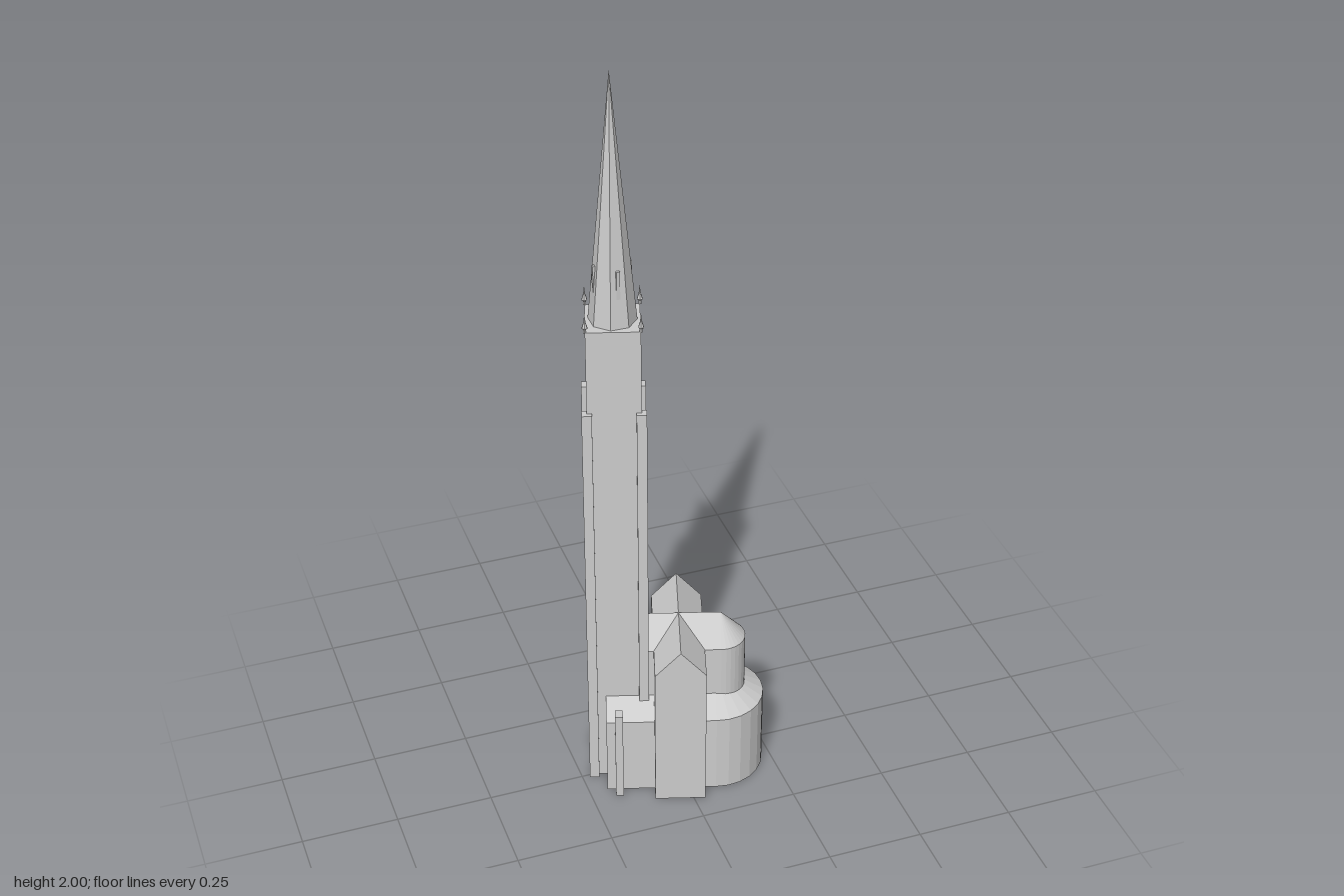
import * as THREE from 'three';

export function createModel() {
  const stone = new THREE.MeshStandardMaterial({ color: 0xcccccc, flatShading: true, side: THREE.DoubleSide });
  stone.name = 'pale stone';

  const model = new THREE.Group();
  model.name = 'church';
  // Church plan: local x runs along the nave, origin at the crossing
  const church = new THREE.Group();
  church.name = 'churchBody';
  church.position.set(0.017, 0, 0.005);
  const turn = -0.304;
  church.rotation.y = turn;
  model.add(church);

  const add = (parent, name, geometry, x = 0, y = 0, z = 0) => {
    const mesh = new THREE.Mesh(geometry, stone);
    mesh.name = name;
    mesh.position.set(x, y, z);
    parent.add(mesh);
    return mesh;
  };
  // Box standing on height y
  const block = (parent, name, w, h, d, x, z, y = 0) =>
    add(parent, name, new THREE.BoxGeometry(w, h, d), x, y + h / 2, z);
  // Symmetric cross-section (half profile from bottom to top) swept from a to b along z
  const sweep = (half, a, b) => {
    const left = half.filter(p => p[0] > 0).reverse().map(([x, y]) => [-x, y]);
    const shape = new THREE.Shape([...half, ...left].map(p => new THREE.Vector2(...p)));
    return new THREE.ExtrudeGeometry(shape, { depth: b - a, bevelEnabled: false }).translate(0, 0, a);
  };
  const sweepX = (half, a, b) => sweep(half, a, b).rotateY(Math.PI / 2);
  // Half-round end facing +x
  const halfRound = (points, segments) =>
    new THREE.LatheGeometry(points.map(p => new THREE.Vector2(...p)), segments, 0, Math.PI);

  // Transept, nave and choir share eaves and ridge heights
  const eave = 0.408, ridge = 0.48;
  const gable = w => [[w, 0], [w, eave], [0, ridge]];
  add(church, 'transept', sweep(gable(0.0655), -0.1685, 0.1685));
  add(church, 'nave', sweepX(gable(0.0655), -0.157, 0));
  add(church, 'choir', sweepX(gable(0.0645), 0, 0.108));
  add(church, 'apse', halfRound([[0.0645, 0], [0.0645, eave], [0, ridge]], 16), 0.108);

  // Low aisles with lean-to roofs, carried round the apse
  const aisle = [[0.127, 0], [0.127, 0.225], [0.065, 0.265]];
  add(church, 'aisles', sweepX(aisle, -0.19, 0.06));
  for (const s of [-1, 1]) {
    const wall = new THREE.Shape([[0.065, 0], [0.127, 0], [0.127, 0.225], [0.065, 0.265]]
      .map(([x, y]) => new THREE.Vector2(-s * x, y)));
    add(church, 'ambulatorySide',
      new THREE.ExtrudeGeometry(wall, { depth: 0.035, bevelEnabled: false }).rotateY(Math.PI / 2), 0.06);
    block(church, 'aisleButtress', 0.02, 0.265, 0.027, -0.1575, s * 0.1395);
  }
  add(church, 'ambulatory', halfRound([[0.127, 0], [0.127, 0.225], [0.062, 0.265]], 12), 0.095);

  // Tower with corner buttresses and pinnacles
  const tower = new THREE.Group();
  tower.name = 'tower';
  tower.position.x = -0.157;
  church.add(tower);
  const top = 1.36, half = 0.066;
  block(tower, 'towerShaft', half * 2, top, half * 2, 0, 0);
  const pinnacle = [[0.004, 0], [0.004, 0.01], [0.0075, 0.014], [0.003, 0.028], [0, 0.052]]
    .map(p => new THREE.Vector2(...p));
  for (const sx of [-1, 1]) for (const sz of [-1, 1]) {
    block(tower, 'towerButtress', 0.025, 1.135, 0.025, sx * half, sz * half);
    add(tower, 'pinnacle', new THREE.LatheGeometry(pinnacle, 6), sx * half, top, sz * half);
  }

  // Eight-sided spire, turned relative to the tower, with four small lucarnes
  const spire = new THREE.Group();
  spire.name = 'spire';
  spire.position.y = top;
  spire.rotation.y = -turn;
  tower.add(spire);
  add(spire, 'spireCone',
    new THREE.ConeGeometry(0.059, 0.64, 8, 1, false, Math.PI / 8), 0, 0.32);
  for (let i = 0; i < 4; i++) {
    const a = i * Math.PI / 2;
    block(spire, 'lucarne', 0.009, 0.1, 0.009, 0.0435 * Math.cos(a), 0.0435 * Math.sin(a), 0.05);
  }
  return model;
}
